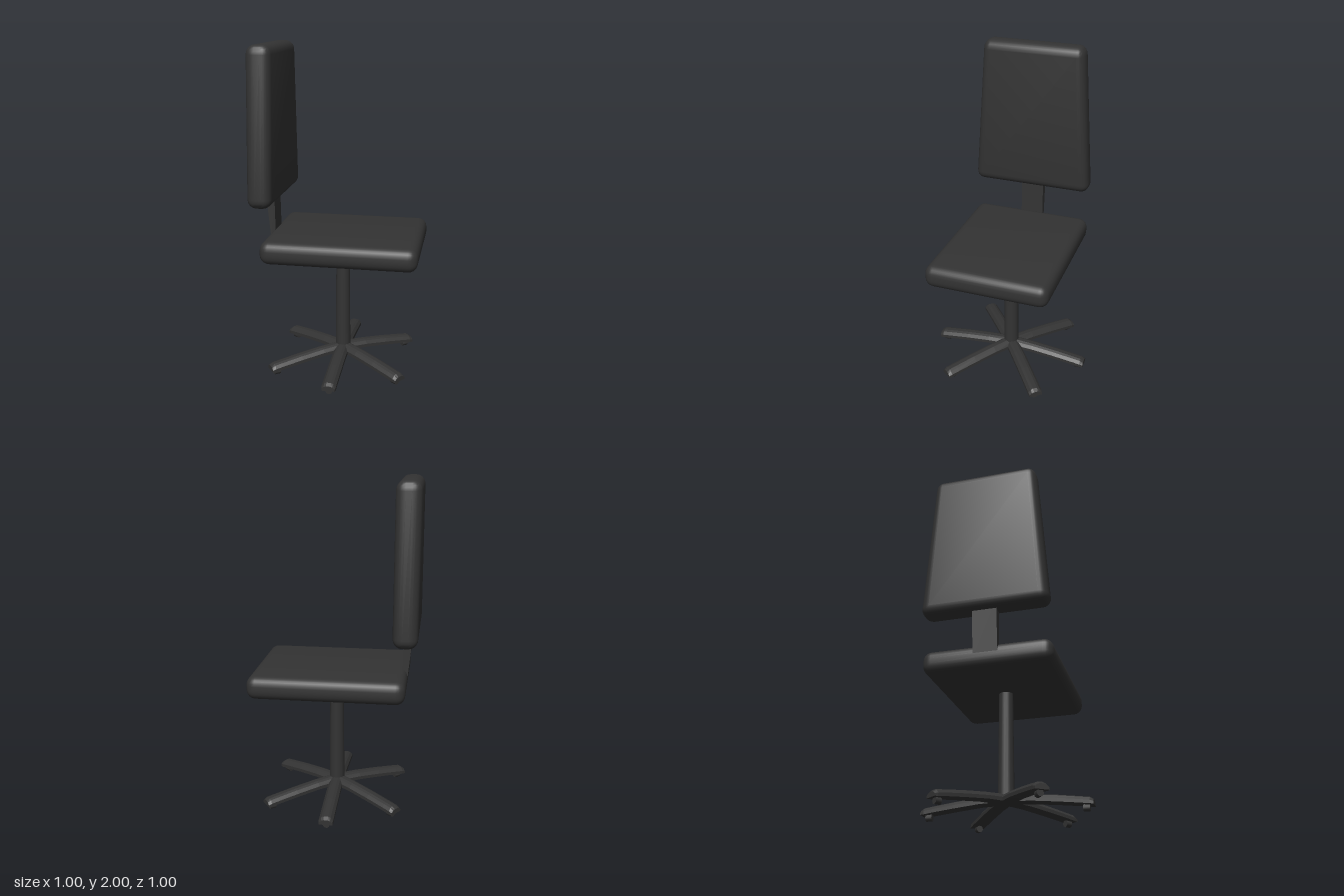
import * as THREE from 'three';
import { RoundedBoxGeometry } from 'three/addons/geometries/RoundedBoxGeometry.js';
import { toCreasedNormals } from 'three/addons/utils/BufferGeometryUtils.js';

const smooth = new THREE.MeshStandardMaterial({ color: 0x333333 });
const faceted = new THREE.MeshStandardMaterial({ color: 0x333333, flatShading: true });

function part(parent, name, geometry, material, x = 0, y = 0, z = 0) {
  const mesh = new THREE.Mesh(geometry, material);
  mesh.name = name;
  mesh.position.set(x, y, z);
  parent.add(mesh);
  return mesh;
}

// Moves every vertex by a rule
function reshape(geometry, rule) {
  const p = geometry.attributes.position;
  const v = new THREE.Vector3();
  for (let i = 0; i < p.count; i++) {
    rule(v.fromBufferAttribute(p, i));
    p.setXYZ(i, v.x, v.y, v.z);
  }
  geometry.computeVertexNormals();
  return geometry;
}

// Arched leg along +x: a round-topped, flat-bottomed section lofted outwards
function legGeometry() {
  const section = [[-1, 0], [-1, 0.45], [-0.65, 0.85], [-0.3, 1], [0.3, 1], [0.65, 0.85], [1, 0.45], [1, 0]];
  // distance from hub, underside height, top height, half width
  const stations = [
    [0, 0.075, 0.124, 0.043], [0.15, 0.07, 0.115, 0.043], [0.3, 0.055, 0.1, 0.043],
    [0.43, 0.04, 0.083, 0.043], [0.48, 0.033, 0.076, 0.043], [0.5, 0.032, 0.062, 0.04],
  ];
  const n = section.length;
  const positions = [];
  const index = [];
  for (const [r, low, high, half] of stations) {
    for (const [u, v] of section) positions.push(r, low + (high - low) * v, u * half);
  }
  for (let s = 0; s < stations.length - 1; s++) {
    for (let i = 0; i < n; i++) {
      const a = s * n + i;
      const b = s * n + (i + 1) % n;
      index.push(a, b, a + n, b, b + n, a + n);
    }
  }
  // End caps
  const last = (stations.length - 1) * n;
  for (let i = 1; i < n - 1; i++) {
    index.push(0, i + 1, i);
    index.push(last, last + i, last + i + 1);
  }
  const g = new THREE.BufferGeometry();
  g.setAttribute('position', new THREE.Float32BufferAttribute(positions, 3));
  g.setIndex(index);
  g.computeVertexNormals();
  return g;
}

export function createModel() {
  const chair = new THREE.Group();
  chair.name = 'swivelChair';

  // Seat cushion
  const seat = new RoundedBoxGeometry(0.93, 0.14, 0.76, 3, 0.055);
  part(chair, 'seat', toCreasedNormals(seat, 0.5), smooth, 0.03, 0.805, 0);

  // Backrest cushion, narrower towards the top
  const back = reshape(new RoundedBoxGeometry(0.145, 0.93, 0.76, 3, 0.055), (v) => {
    v.z *= 1 - 0.175 * (v.y / 0.93 + 0.5);
  });
  part(chair, 'backrest', toCreasedNormals(back, 0.5), smooth, -0.4275, 1.535, 0);

  // Wedge-shaped bracket between seat and backrest
  const bracket = new THREE.Shape([
    new THREE.Vector2(-0.432, 0.79), new THREE.Vector2(-0.405, 0.79),
    new THREE.Vector2(-0.41, 1.12), new THREE.Vector2(-0.465, 1.12),
  ]);
  part(chair, 'backBracket',
    new THREE.ExtrudeGeometry(bracket, { depth: 0.144, bevelEnabled: false }), faceted, 0, 0, -0.072);

  // Central post
  part(chair, 'post', new THREE.CylinderGeometry(0.042, 0.048, 0.67, 16), smooth, 0.004, 0.415, 0);

  // Six-legged base: two legs to the sides, four on the diagonals
  const base = new THREE.Group();
  base.name = 'base';
  base.position.x = 0.004;
  chair.add(base);
  const leg = legGeometry();
  const roller = new THREE.CylinderGeometry(0.02, 0.02, 0.037, 10).rotateZ(Math.PI / 2);
  const fork = new THREE.BoxGeometry(0.03, 0.03, 0.02);
  for (const degrees of [37, 90, 143, 217, 270, 323]) {
    const arm = new THREE.Group();
    arm.name = 'legWithCaster';
    arm.rotation.y = THREE.MathUtils.degToRad(degrees);
    part(arm, 'leg', leg, faceted);
    part(arm, 'caster', roller, smooth, 0.458, 0.02, 0);
    part(arm, 'casterFork', fork, faceted, 0.458, 0.035, 0);
    base.add(arm);
  }
  return chair;
}
